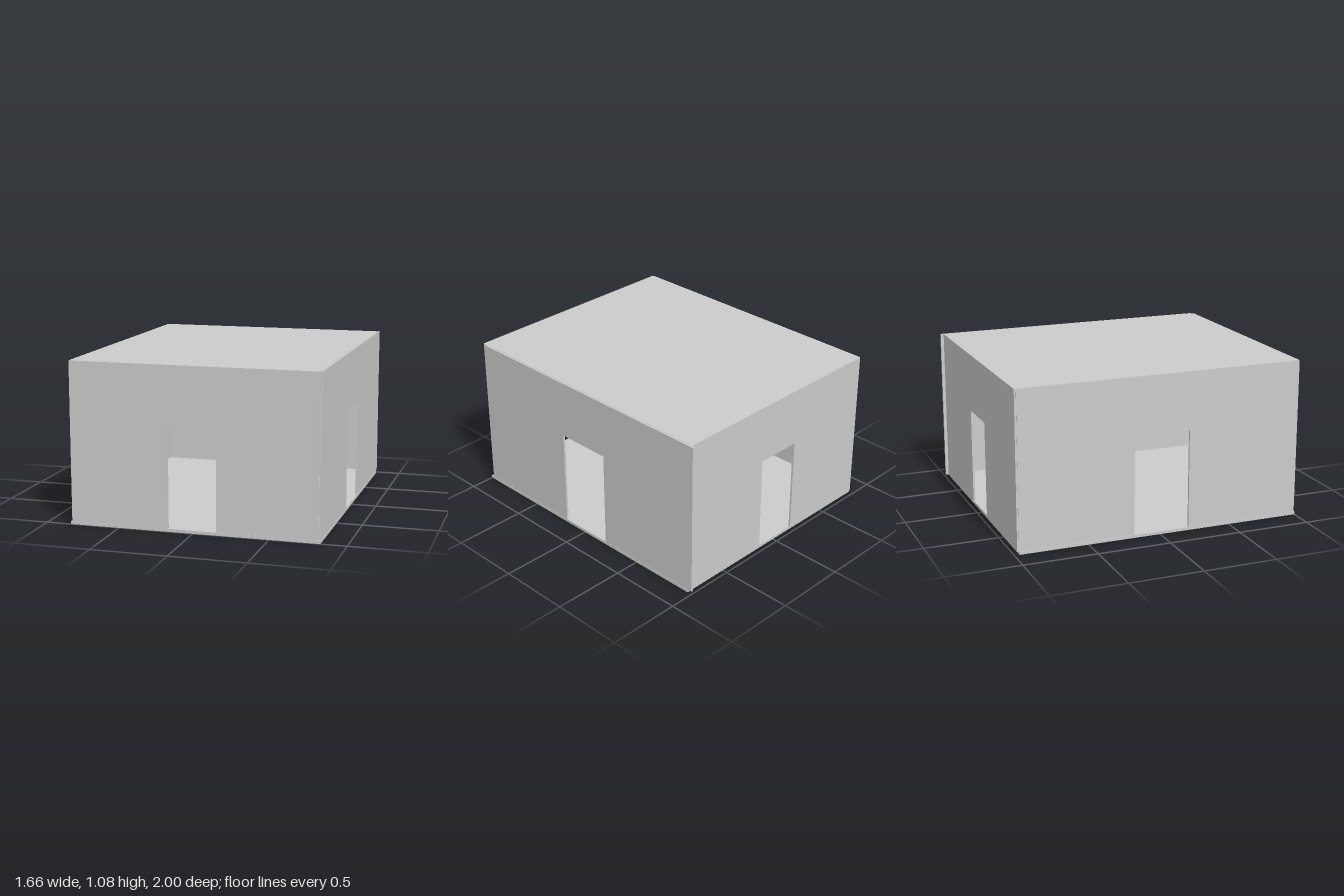
import * as THREE from 'three';

const material = new THREE.MeshStandardMaterial({ color: 0xcccccc, flatShading: true });
const FLOOR = 0.02, TOP = 1.08, DOOR_TOP = 0.685, THICK = 0.014;

// Slab given by its minimum and maximum corners
function slab(name, min, max) {
  const size = max.map((v, i) => v - min[i]);
  const mesh = new THREE.Mesh(new THREE.BoxGeometry(...size), material);
  mesh.position.set(...max.map((v, i) => (v + min[i]) / 2));
  mesh.name = name;
  return mesh;
}

// Wall panel along local x with a doorway open at the floor, thickness along +z
function wall(name, from, to, doorFrom, doorTo) {
  const outline = [
    [from, FLOOR], [doorFrom, FLOOR], [doorFrom, DOOR_TOP], [doorTo, DOOR_TOP],
    [doorTo, FLOOR], [to, FLOOR], [to, TOP], [from, TOP],
  ].map(([x, y]) => new THREE.Vector2(x, y));
  const geometry = new THREE.ExtrudeGeometry(new THREE.Shape(outline), { depth: THICK, bevelEnabled: false });
  const mesh = new THREE.Mesh(geometry, material);
  mesh.name = name;
  return mesh;
}

export function createModel() {
  const group = new THREE.Group();
  group.name = 'room';

  // Floor and roof
  group.add(slab('floor', [-0.833, 0, -0.967], [0.831, FLOOR, 1]));
  group.add(slab('roof', [-0.817, TOP - 0.015, -0.967], [0.813, TOP, 0.984]));

  // Front and back walls
  const front = wall('frontWall', -0.825, 0.815, -0.165, 0.155);
  front.position.z = 0.984;
  const back = wall('backWall', -0.825, 0.815, -0.165, 0.155);
  back.position.z = -0.979;
  group.add(front, back);

  // Side walls: a quarter turn sends local x to -z and local z to +x
  const left = wall('leftWall', -0.98, 1, -0.183, 0.205);
  left.rotation.y = Math.PI / 2;
  left.position.x = 0.815;
  const right = wall('rightWall', -0.984, 0.967, -0.205, 0.18);
  right.rotation.y = Math.PI / 2;
  right.position.x = -0.828;
  group.add(left, right);

  return group;
}
